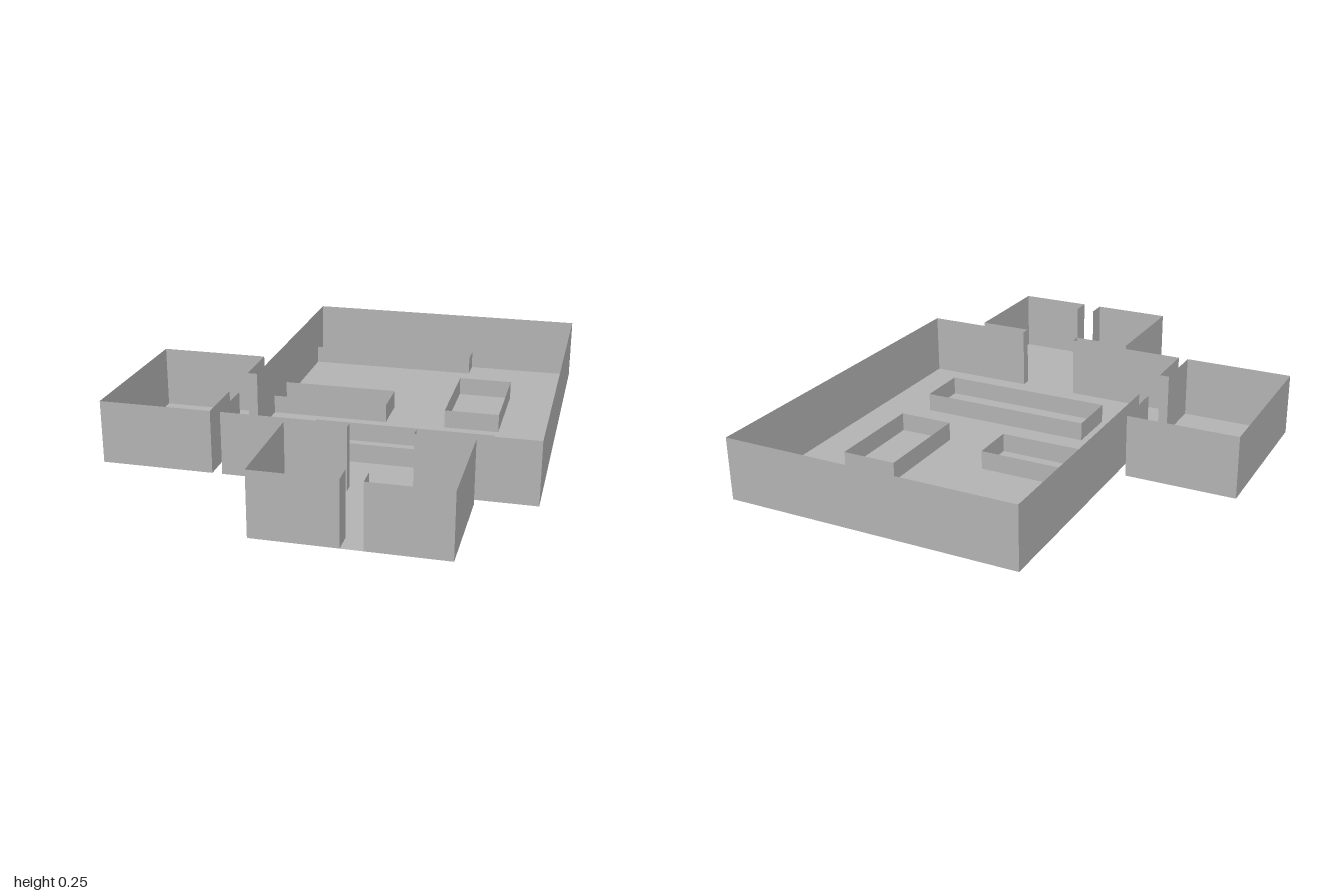
import * as THREE from 'three';

const WALL_H = 0.255;
const LOW_H = 0.077;

// Outline of the floor plan as [x, z]: large hall, front room and side room joined by short passages
const FRONT = 1;
const frontRoomRight = [[0.618, FRONT], [0.618, 0.547], [0.393, 0.547], [0.393, 0.507]];
const hall = [[0.85, 0.507], [0.85, -1], [-0.36, -1], [-0.36, 0.053]];
const sideRoom = [[-0.4, 0.053], [-0.4, -0.172], [-0.85, -0.172], [-0.85, 0.507], [-0.4, 0.507], [-0.4, 0.28]];
const frontRoomLeft = [[-0.36, 0.28], [-0.36, 0.507], [0.143, 0.507], [0.143, 0.547], [-0.097, 0.547], [-0.097, FRONT]];
const outline = [...frontRoomRight, ...hall, ...sideRoom, ...frontRoomLeft];

export function createModel() {
  const model = new THREE.Group();
  const plaster = new THREE.MeshStandardMaterial({ color: 0xb2b2b2, side: THREE.DoubleSide });
  plaster.name = 'plainGrey';

  // Thin upright sheets following a path of [x, z] points
  function sheets(name, path, height) {
    const group = new THREE.Group();
    group.name = name;
    for (let i = 0; i < path.length - 1; i++) {
      const [x0, z0] = path[i];
      const [x1, z1] = path[i + 1];
      const sheet = new THREE.Mesh(new THREE.PlaneGeometry(Math.hypot(x1 - x0, z1 - z0), height), plaster);
      sheet.name = name + 'Panel';
      sheet.position.set((x0 + x1) / 2, height / 2, (z0 + z1) / 2);
      sheet.rotation.y = -Math.atan2(z1 - z0, x1 - x0);
      group.add(sheet);
    }
    model.add(group);
  }

  // Floor
  const shape = new THREE.Shape(outline.map(([x, z]) => new THREE.Vector2(x, -z)));
  const floor = new THREE.Mesh(new THREE.ShapeGeometry(shape).rotateX(-Math.PI / 2), plaster);
  floor.name = 'floor';
  model.add(floor);

  // Outer walls, ending in inward jambs at the front doorway
  sheets('outerWall', [[0.312, 0.92], [0.312, FRONT], ...outline, [0.23, FRONT], [0.23, 0.92]], WALL_H);

  // Low counters against the hall walls
  sheets('backCounter', [[-0.36, -0.9], [0.386, -0.9], [0.386, -1]], LOW_H);
  sheets('sideCounter', [[-0.36, -0.363], [0.135, -0.363], [0.135, -0.18], [-0.36, -0.18]], LOW_H);

  // Free-standing open enclosures
  function enclosure(name, x0, x1, z0, z1) {
    sheets(name, [[x0, z0], [x1, z0], [x1, z1], [x0, z1], [x0, z0]], LOW_H);
  }
  enclosure('islandCounter', 0.388, 0.616, -0.605, -0.18);
  enclosure('longCounter', -0.107, 0.626, 0.053, 0.27);

  return model;
}
